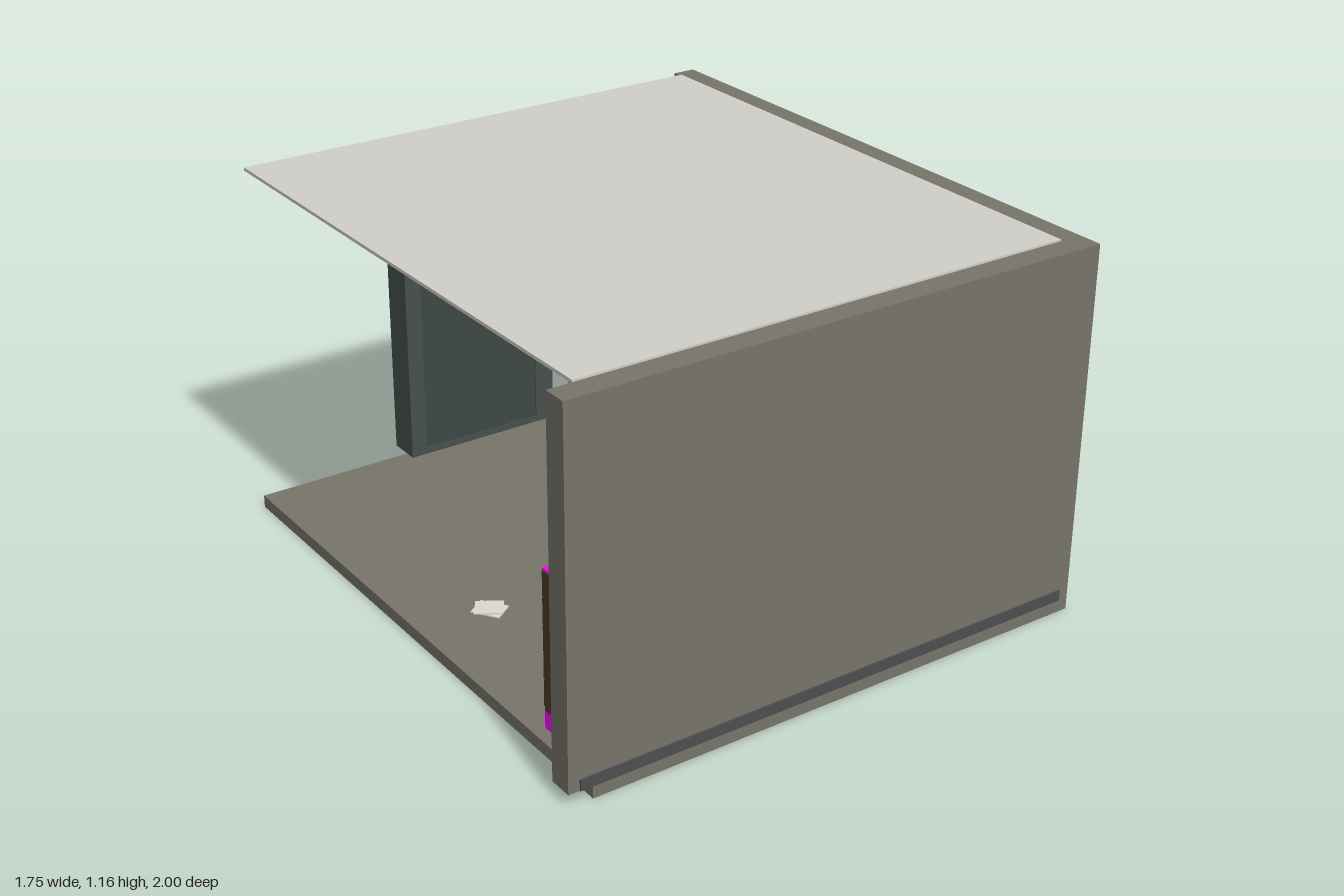
import * as THREE from 'three';

const mat = (color) => new THREE.MeshStandardMaterial({ color });

export function createModel() {
  const room = new THREE.Group();
  room.name = 'vaultRoom';
  const M = {
    wall: mat(0x78756a), ceiling: mat(0xd2d0ca), trim: mat(0x4c4f51),
    steel: mat(0x47514d), panel: mat(0x3f4845), copper: mat(0x6e4026),
    chrome: mat(0x8c9090), dark: mat(0x2c3230), plate: mat(0xb0a583),
    magenta: mat(0xff00ff), wood: mat(0x4c3a28), brass: mat(0xa8853c), paper: mat(0xdedace),
  };

  // Box given by its lower and upper bounds on each axis
  const box = (parent, name, material, [x0, x1], [y0, y1], [z0, z1]) => {
    const m = new THREE.Mesh(new THREE.BoxGeometry(x1 - x0, y1 - y0, z1 - z0), material);
    m.position.set((x0 + x1) / 2, (y0 + y1) / 2, (z0 + z1) / 2);
    m.name = name;
    parent.add(m);
    return m;
  };
  const cylinder = (parent, name, material, r, h, x, y, z, alongZ, sides = 16) => {
    const g = new THREE.CylinderGeometry(r, r, h, sides);
    if (alongZ) g.rotateX(Math.PI / 2);
    const m = new THREE.Mesh(g, material);
    m.position.set(x, y, z);
    m.name = name;
    parent.add(m);
    return m;
  };
  const group = (name) => {
    const g = new THREE.Group();
    g.name = name;
    room.add(g);
    return g;
  };

  // Shell: floor, two walls and a thin ceiling; the other two sides are open
  box(room, 'floor', M.wall, [-0.8, 0.865], [0, 0.04], [-0.9, 0.995]);
  box(room, 'frontWall', M.wall, [-0.875, 0.865], [0.04, 1.152], [0.92, 0.995]);
  box(room, 'sideWall', M.wall, [0.79, 0.865], [0.04, 1.152], [-0.9, 0.92]);
  box(room, 'ceiling', M.ceiling, [-0.8, 0.79], [1.148, 1.158], [-0.86, 0.92]);

  // Skirting shows on both faces of each wall
  box(room, 'frontSkirting', M.trim, [-0.84, 0.83], [0.041, 0.075], [0.912, 1]);
  box(room, 'sideSkirting', M.trim, [0.782, 0.87], [0.041, 0.075], [-0.898, 0.96]);

  // Vault door standing in the open back side
  const door = group('vaultDoor');
  const outline = new THREE.Shape();
  outline.moveTo(-0.28, 0.04).lineTo(0.267, 0.04).lineTo(0.267, 0.87).lineTo(-0.28, 0.87).closePath();
  const opening = new THREE.Path();
  opening.moveTo(-0.225, 0.06).lineTo(-0.225, 0.78).lineTo(0.2, 0.78).lineTo(0.2, 0.06).closePath();
  outline.holes.push(opening);
  const frame = new THREE.Mesh(
    new THREE.ExtrudeGeometry(outline, { depth: 0.11, bevelEnabled: false }), M.steel);
  frame.position.z = -0.972;
  frame.name = 'doorFrame';
  door.add(frame);
  box(door, 'doorPanel', M.panel, [-0.226, 0.201], [0.059, 0.781], [-0.96, -0.866]);
  box(door, 'namePlate', M.plate, [-0.07, 0.065], [0.803, 0.848], [-0.977, -0.97]);
  box(door, 'smallPlate', M.chrome, [-0.02, 0.065], [0.59, 0.622], [-0.972, -0.958]);

  // Locking bars with a hinge pin at each height
  for (const y of [0.17, 0.43, 0.69]) {
    box(door, 'lockingBar', M.copper, [-0.185, 0.185], [y - 0.014, y + 0.014], [-0.976, -0.958]);
    cylinder(door, 'hinge', M.chrome, 0.016, 0.042, 0.24, y, -0.979, false);
    box(door, 'hingeMount', M.dark, [0.228, 0.252], [y - 0.028, y + 0.012], [-0.978, -0.97]);
  }

  // Hand wheel
  cylinder(door, 'wheelHub', M.chrome, 0.03, 0.036, -0.097, 0.43, -0.974, true, 24);
  cylinder(door, 'wheelRim', M.dark, 0.094, 0.007, -0.097, 0.43, -0.9945, true, 32);
  cylinder(door, 'wheelFace', M.chrome, 0.087, 0.004, -0.097, 0.43, -0.998, true, 32);

  // Three rows of tall storage units
  for (let i = 0; i < 3; i++) {
    const z = -0.446 + i * 0.488;
    box(room, 'storageUnit', M.magenta, [0.065, 0.742], [0.04, 0.86], [z, z + 0.17]);
  }

  // Drawer cabinet against the front wall
  const cabinet = group('drawerCabinet');
  const x0 = -0.76, x1 = -0.44, zFront = 0.705;
  box(cabinet, 'cabinetBody', M.magenta, [x0, x1], [0.04, 0.53], [zFront, 0.91]);
  for (const [a, b] of [[x0 - 0.004, x0 + 0.004], [x1 - 0.004, x1 + 0.004]])
    box(cabinet, 'cabinetSide', M.wood, [a, b], [0.1, 0.526], [zFront + 0.006, 0.908]);
  box(cabinet, 'cabinetBackRail', M.wood, [x0, x1], [0.53, 0.55], [0.87, 0.912]);
  const cw = (x1 - x0) / 4, rh = 0.42 / 5;
  for (let c = 0; c < 4; c++) {
    for (let r = 0; r < 5; r++) {
      if (c === 1 && r === 3) continue; // one drawer is missing
      const dx = x0 + c * cw, dy = 0.102 + r * rh;
      box(cabinet, 'drawer', M.wood, [dx + 0.003, dx + cw - 0.003], [dy + 0.003, dy + rh - 0.003],
        [zFront - 0.008, zFront + 0.01]);
      cylinder(cabinet, 'drawerKnob', M.brass, 0.009, 0.014, dx + cw / 2, dy + rh / 2, zFront - 0.014, true, 10);
    }
  }

  // Loose papers on the floor
  const papers = group('papers');
  box(papers, 'sheet', M.paper, [-0.035, 0.035], [0, 0.004], [-0.045, 0.045]);
  box(papers, 'sheet', M.paper, [-0.033, 0.037], [0.004, 0.008], [-0.045, 0.04]).rotation.y = 0.4;
  papers.position.set(-0.57, 0.041, 0.106);
  papers.rotation.y = 0.6;

  return room;
}
